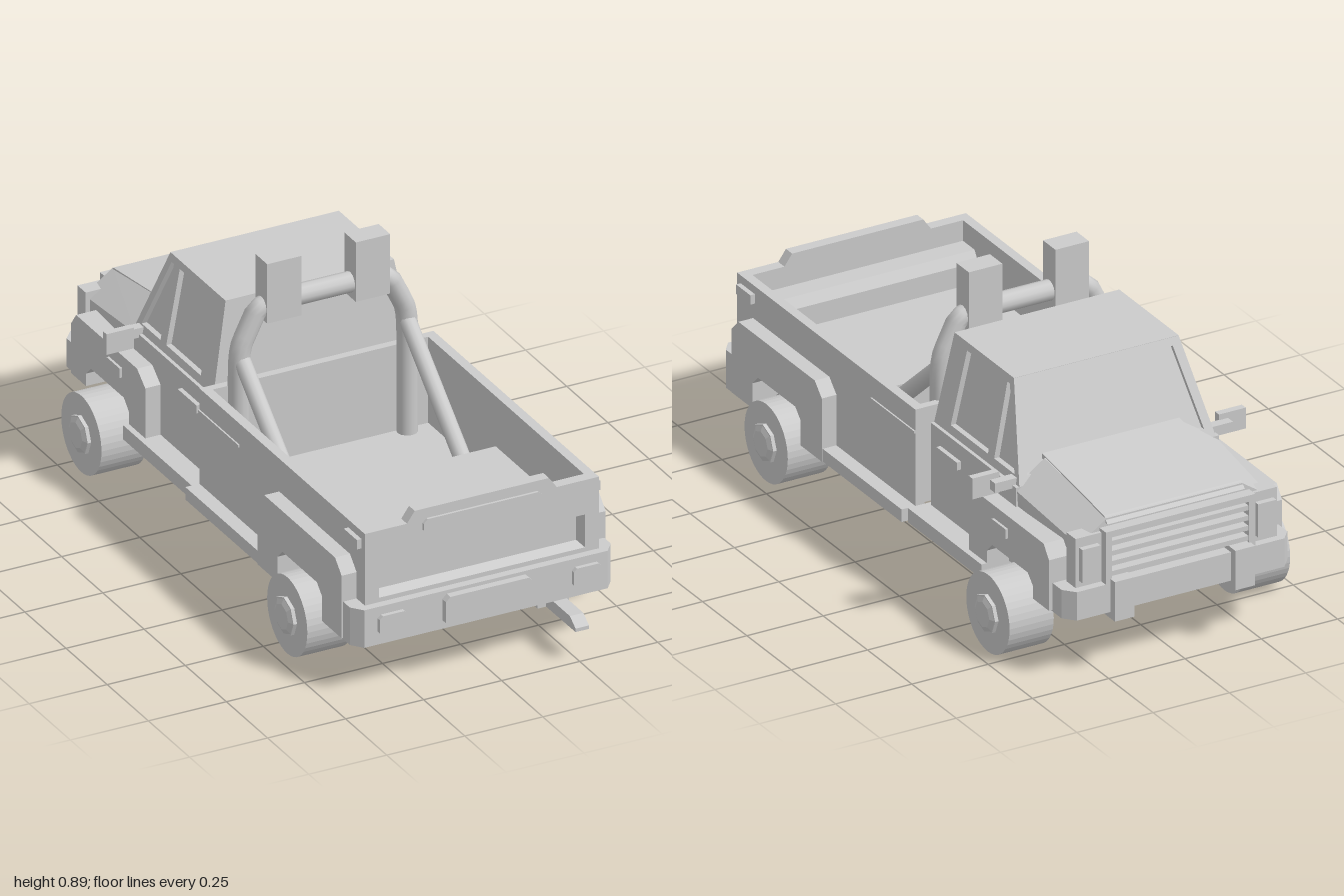
import * as THREE from 'three';
import { ConvexGeometry } from 'three/addons/geometries/ConvexGeometry.js';

const mat = new THREE.MeshStandardMaterial({ color: 0xcccccc, flatShading: true, side: THREE.DoubleSide });
const smooth = new THREE.MeshStandardMaterial({ color: 0xcccccc });

export function createModel() {
  const model = new THREE.Group();

  const add = (name, geo, m = mat) => {
    const mesh = new THREE.Mesh(geo, m);
    mesh.name = name;
    model.add(mesh);
  };
  // Box from its two extreme corners
  const box = (name, x0, x1, y0, y1, z0, z1) =>
    add(name, new THREE.BoxGeometry(x1 - x0, y1 - y0, z1 - z0)
      .translate((x0 + x1) / 2, (y0 + y1) / 2, (z0 + z1) / 2));
  // The same box on both sides
  const boxes = (name, x0, x1, ...r) => {
    box(name, x0, x1, ...r);
    box(name, -x1, -x0, ...r);
  };
  const toShape = (pts, holes = []) => {
    const s = new THREE.Shape(pts.map(p => new THREE.Vector2(...p)));
    for (const h of holes) s.holes.push(new THREE.Path(h.map(p => new THREE.Vector2(...p))));
    return s;
  };
  const extrude = (shape, depth) => new THREE.ExtrudeGeometry(shape, { depth, bevelEnabled: false });
  // Profile in (z, y), extruded from x0 to x1
  const sideGeo = (pts, x0, x1, holes) =>
    extrude(toShape(pts, holes), x1 - x0).rotateY(-Math.PI / 2).translate(x1, 0, 0);
  // Profile in (x, y), extruded from z0 to z1
  const faceGeo = (pts, z0, z1, holes) => extrude(toShape(pts, holes), z1 - z0).translate(0, 0, z0);
  const warp = (geo, fn) => {
    const p = geo.attributes.position, v = new THREE.Vector3();
    for (let i = 0; i < p.count; i++) {
      fn(v.fromBufferAttribute(p, i));
      p.setXYZ(i, v.x, v.y, v.z);
    }
    geo.computeVertexNormals();
    return geo;
  };
  // Rectangle with cut corners
  const chamfer = (x0, x1, y0, y1, c) => [[x0 + c, y0], [x1 - c, y0], [x1, y0 + c], [x1, y1 - c],
    [x1 - c, y1], [x0 + c, y1], [x0, y1 - c], [x0, y0 + c]];

  // Wheels with octagonal hubs
  for (const s of [1, -1]) {
    for (const z of [0.57, -0.68]) {
      const wheel = new THREE.Group();
      wheel.name = 'wheel';
      const disc = (name, r0, r1, w, x, n) => {
        const m = new THREE.Mesh(new THREE.CylinderGeometry(r0, r1, w, n).rotateZ(-Math.PI / 2), mat);
        m.name = name;
        m.position.x = x;
        wheel.add(m);
      };
      disc('tyre', 0.122, 0.122, 0.145, 0, 40);
      disc('hub', 0.06, 0.06, 0.012, 0.078, 8);
      disc('hubCap', 0.04, 0.058, 0.008, 0.087, 8);
      wheel.position.set(s * 0.3875, 0.122, z);
      if (s < 0) wheel.rotation.y = Math.PI;
      model.add(wheel);
    }
  }

  // Bed walls and flared arches
  const rearArch = [[0.71, 0.16], [0.71, 0.24], [0.68, 0.27], [0.47, 0.27], [0.44, 0.24], [0.44, 0.16]];
  const bedWall = [[-0.125, 0.16], [-0.125, 0.505], [0.88, 0.505], [0.88, 0.16], ...rearArch];
  const rearFlare = [[0.32, 0.16], [0.32, 0.36], [0.36, 0.4], [0.79, 0.4], [0.83, 0.36], [0.83, 0.16], ...rearArch];
  const frontArch = [[-0.8, 0.2], [-0.8, 0.24], [-0.77, 0.27], [-0.57, 0.27], [-0.54, 0.24], [-0.54, 0.2]];
  const frontFlare = [[-0.44, 0.2], [-0.44, 0.36], [-0.49, 0.4], [-0.86, 0.4], [-0.89, 0.36], [-0.89, 0.2], ...frontArch];
  const mirrored = (name, pts, x0, x1) => {
    add(name, sideGeo(pts, x0, x1));
    add(name, sideGeo(pts, -x1, -x0));
  };
  mirrored('bedWall', bedWall, 0.345, 0.375);
  mirrored('rearFender', rearFlare, 0.37, 0.423);
  mirrored('frontFender', frontFlare, 0.3, 0.382);
  boxes('bedSill', 0.345, 0.42, 0.16, 0.2, -0.125, 0.44);
  boxes('cabSill', 0.3, 0.4, 0.155, 0.2, -0.54, -0.125);
  boxes('sideLamp', 0.37, 0.39, 0.45, 0.48, 0.78, 0.86);
  boxes('bedTrim', 0.372, 0.38, 0.43, 0.438, -0.125, 0.12);
  box('bedFrontWall', -0.345, 0.345, 0.205, 0.505, -0.125, -0.1);
  box('bedFloor', -0.345, 0.345, 0.215, 0.23, -0.1, 0.33);
  box('bedPlatform', -0.345, 0.345, 0.325, 0.345, 0.31, 0.85);
  box('bedStep', -0.345, 0.345, 0.215, 0.345, 0.31, 0.325);
  // Sloped ledge inside the tailgate
  add('tailgateLedge', sideGeo([[0.76, 0.34], [0.76, 0.41], [0.78, 0.44], [0.85, 0.44], [0.85, 0.34]], -0.345, 0.345));

  // Tailgate with a bevelled recess and raised lip
  const recess = [[-0.33, 0.29], [0.33, 0.29], [0.33, 0.395], [-0.33, 0.395]];
  add('tailgate', warp(faceGeo([[-0.375, 0.16], [0.375, 0.16], [0.375, 0.505], [0.24, 0.505], [0.215, 0.54],
    [-0.215, 0.54], [-0.24, 0.505], [-0.375, 0.505]], 0.845, 0.88, [recess]), v => {
    if (v.z < 0.86 && v.y > 0.28 && v.y < 0.4) {
      v.x *= 0.95;
      v.y = 0.3425 + (v.y - 0.3425) * 0.66;
    }
  }));
  box('recessPanel', -0.318, 0.318, 0.303, 0.382, 0.84, 0.852);
  add('tailgateHandle', faceGeo(chamfer(-0.19, 0.19, 0.462, 0.508, 0.012), 0.87, 0.888));

  // Rear bumper, lamps and plate
  add('rearBumper', extrude(toShape([[-0.418, 0.76], [0.418, 0.76], [0.418, 0.87], [0.39, 0.905], [-0.39, 0.905],
    [-0.418, 0.87]]), 0.12).rotateX(Math.PI / 2).translate(0, 0.276, 0));
  add('rearPlate', faceGeo(chamfer(-0.14, 0.14, 0.17, 0.265, 0.014), 0.9, 0.928));
  for (const x of [0.275, -0.347]) add('rearLamp', faceGeo(chamfer(x, x + 0.09, 0.188, 0.25, 0.01), 0.9, 0.918));

  // Exhaust
  add('exhaustPipe', sideGeo([[0.8, 0.095], [0.8, 0.132], [0.965, 0.132], [1, 0.108], [1, 0.097]], 0.237, 0.28));
  box('exhaustBox', 0.21, 0.31, 0.095, 0.158, 0.69, 0.82);

  // Roll bar with rear stays and lamp boxes
  const tube = (name, pts, r) => {
    const path = new THREE.CurvePath();
    const v = pts.map(p => new THREE.Vector3(...p));
    const ends = [v[0]];
    for (let i = 1; i < v.length - 1; i++) {
      const a = v[i].clone().lerp(v[i - 1], 0.2), b = v[i].clone().lerp(v[i + 1], 0.2);
      path.add(new THREE.LineCurve3(ends.at(-1), a));
      path.add(new THREE.QuadraticBezierCurve3(a, v[i], b));
      ends.push(b);
    }
    path.add(new THREE.LineCurve3(ends.at(-1), v.at(-1)));
    add(name, new THREE.TubeGeometry(path, v.length > 2 ? 60 : 1, r, 12), smooth);
  };
  tube('rollBar', [[-0.27, 0.21, -0.085], [-0.27, 0.62, -0.085], [-0.205, 0.752, -0.085], [0.205, 0.752, -0.085],
    [0.27, 0.62, -0.085], [0.27, 0.21, -0.085]], 0.031);
  for (const s of [1, -1]) tube('rollBarStay', [[s * 0.265, 0.6, -0.085], [s * 0.265, 0.25, 0.32]], 0.025);
  boxes('lampBox', 0.087, 0.197, 0.703, 0.893, -0.12, -0.05);

  // Lower cab, open underneath behind the front panel
  mirrored('cabSide', [[-0.14, 0.2], [-0.14, 0.46], [-0.62, 0.46], [-0.62, 0.27], [-0.54, 0.27], [-0.54, 0.2]], 0.31, 0.333);
  box('cabBack', -0.333, 0.333, 0.2, 0.46, -0.16, -0.14);
  box('firewall', -0.32, 0.32, 0.2, 0.46, -0.62, -0.6);
  box('underPanel', -0.31, 0.31, 0.19, 0.205, -0.9, -0.4);
  boxes('doorHandle', 0.33, 0.347, 0.385, 0.41, -0.31, -0.195);

  // Upper cab: leaning panels with inset glass
  const rise = y => (y - 0.46) / 0.28;
  const doorGlass = [[-0.225, 0.485], [-0.243, 0.718], [-0.435, 0.718], [-0.435, 0.485]];
  const ventGlass = [[-0.47, 0.485], [-0.47, 0.718], [-0.49, 0.718], [-0.585, 0.485]];
  const sidePanel = [[-0.14, 0.46], [-0.165, 0.74], [-0.5, 0.74], [-0.62, 0.46]];
  for (const s of [1, -1]) {
    const lean = g => warp(g, v => { v.x -= s * 0.052 * rise(v.y); });
    const [a, b, c] = s > 0 ? [0.295, 0.322, 0.305] : [-0.322, -0.295, -0.295];
    add('cabSidePanel', lean(sideGeo(sidePanel, a, b, [doorGlass, ventGlass])));
    for (const g of [doorGlass, ventGlass]) add('sideGlass', lean(sideGeo(g, c - 0.01, c)));
  }
  const trapezoid = (w0, w1, y0, y1) => [[-w0, y0], [w0, y0], [w1, y1], [-w1, y1]];
  const shield = trapezoid(0.29, 0.245, 0.485, 0.718);
  const leanBack = g => warp(g, v => { v.z += 0.12 * rise(v.y); });
  add('windshieldFrame', leanBack(faceGeo(trapezoid(0.322, 0.27, 0.46, 0.74), -0.62, -0.595, [shield])));
  add('windshield', leanBack(faceGeo(shield, -0.604, -0.595)));
  add('cabRearPanel', warp(faceGeo(trapezoid(0.322, 0.27, 0.46, 0.74), -0.16, -0.14), v => { v.z -= 0.025 * rise(v.y); }));
  box('roof', -0.27, 0.27, 0.725, 0.741, -0.5, -0.165);

  // Hood and nose, with flat sloping shoulders
  const nose = [];
  for (const s of [1, -1]) {
    nose.push([s * 0.31, 0.2, -0.6], [s * 0.33, 0.45, -0.6], [s * 0.228, 0.52, -0.6],
      [s * 0.31, 0.2, -0.94], [s * 0.315, 0.411, -0.94], [s * 0.222, 0.475, -0.94]);
  }
  add('hood', new ConvexGeometry(nose.map(p => new THREE.Vector3(...p))));
  add('hoodPanel', sideGeo([[-0.58, 0.51], [-0.58, 0.526], [-0.93, 0.48], [-0.95, 0.46]], -0.225, 0.225));

  // Grille, headlamps and front bumper
  box('grilleTop', -0.24, 0.24, 0.43, 0.45, -0.975, -0.93);
  for (let i = 0; i < 4; i++) box('grilleBar', -0.235, 0.235, 0.305 + i * 0.032, 0.32 + i * 0.032, -0.97, -0.93);
  boxes('grillePost', 0.225, 0.245, 0.28, 0.45, -0.975, -0.93);
  boxes('headlampFrame', 0.245, 0.33, 0.28, 0.44, -0.95, -0.9);
  boxes('headlamp', 0.258, 0.318, 0.305, 0.41, -0.968, -0.94);
  add('frontBumper', extrude(toShape([[-0.37, -0.84], [-0.37, -0.94], [-0.34, -0.975], [0.34, -0.975], [0.37, -0.94],
    [0.37, -0.84]]), 0.09).rotateX(Math.PI / 2).translate(0, 0.285, 0));
  boxes('bumperGuard', 0.165, 0.23, 0.175, 0.3, -1, -0.91);
  boxes('sideMarker', 0.375, 0.39, 0.33, 0.36, -0.66, -0.58);

  // Door mirrors
  boxes('mirror', 0.36, 0.448, 0.432, 0.498, -0.572, -0.55);
  boxes('mirrorArm', 0.31, 0.39, 0.45, 0.48, -0.6, -0.57);
  return model;
}
